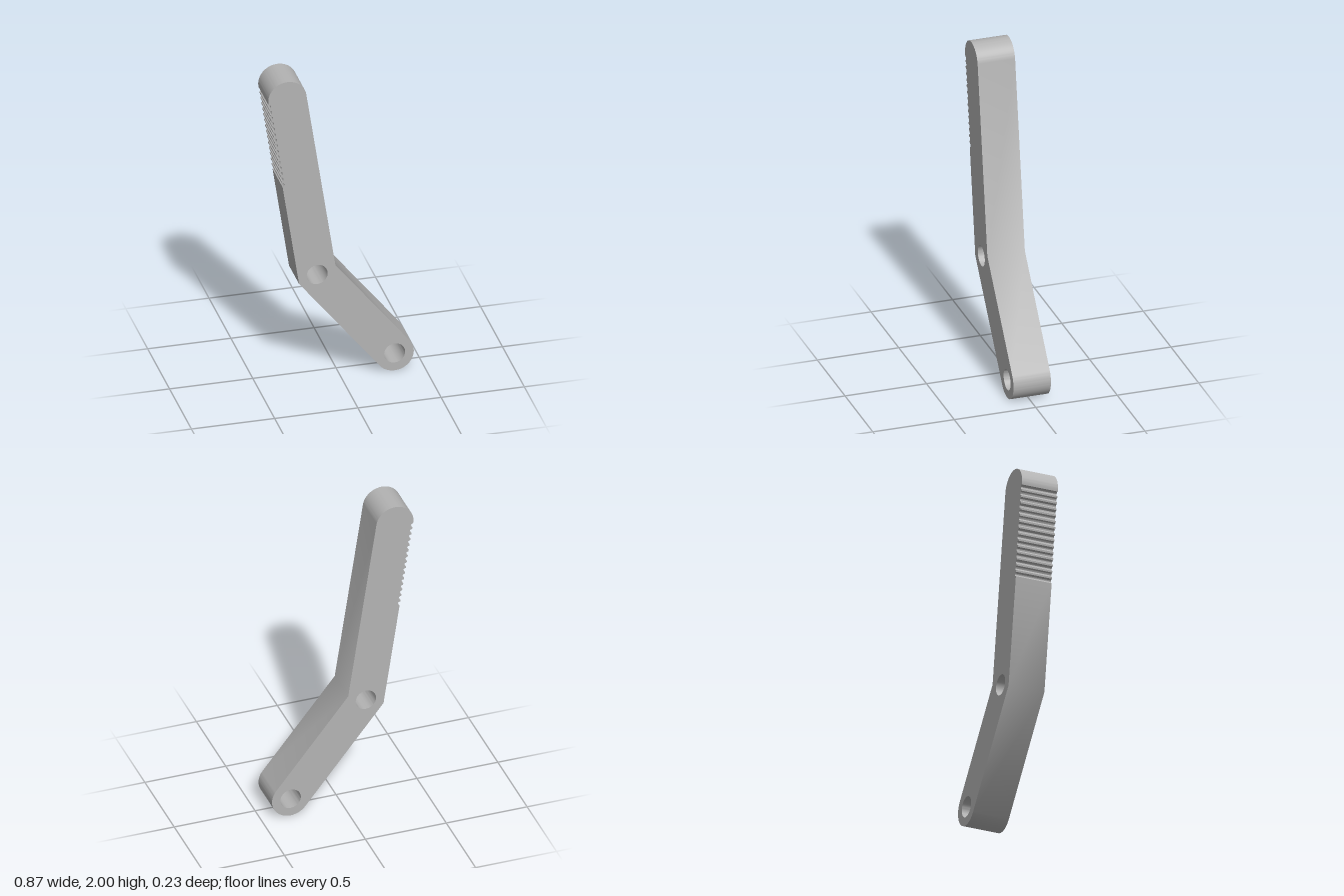
import * as THREE from 'three';
import { toCreasedNormals } from 'three/addons/utils/BufferGeometryUtils.js';

const R = 0.115, DEPTH = 0.23, HOLE = 0.063;
const top = new THREE.Vector2(-0.322, 1.885);
const pivot = new THREE.Vector2(-0.143, 0.7);
const bottom = new THREE.Vector2(0.322, 0.115);

export function createModel() {
  const group = new THREE.Group();
  const grey = new THREE.MeshStandardMaterial({ color: 0xb3b3b3 });
  grey.name = 'grey';

  // Directions of the two arms and the outward (left-hand) side of each
  const up = top.clone().sub(pivot).normalize();
  const down = bottom.clone().sub(pivot).normalize();
  const upOut = new THREE.Vector2(-up.y, up.x);
  const downOut = new THREE.Vector2(down.y, -down.x);

  // Mitred corner of the bend, measured from the pivot
  const miter = upOut.clone().add(downOut).normalize();
  miter.multiplyScalar(R / miter.dot(upOut));

  // Bent bar with round ends, drawn counter-clockwise
  const shape = new THREE.Shape();
  const a0 = downOut.angle(), a1 = upOut.angle();
  shape.moveTo(pivot.x - miter.x, pivot.y - miter.y);
  shape.lineTo(top.x - upOut.x * R, top.y - upOut.y * R);
  shape.absarc(top.x, top.y, R, a1 - Math.PI, a1, false);

  // Row of rounded grip notches down the outer edge
  const start = top.clone().addScaledVector(upOut, R);
  const count = 15, pitch = 0.038, notch = 0.0135;
  for (let i = 0; i < count; i++) {
    const c = start.clone().addScaledVector(up, -(0.02 + i * pitch));
    const a = up.angle();
    shape.lineTo(c.x + up.x * notch, c.y + up.y * notch);
    shape.absarc(c.x, c.y, notch, a, a - Math.PI, true);
  }

  shape.lineTo(pivot.x + miter.x, pivot.y + miter.y);
  shape.lineTo(bottom.x + downOut.x * R, bottom.y + downOut.y * R);
  shape.absarc(bottom.x, bottom.y, R, a0, a0 + Math.PI, false);
  shape.closePath();

  // Pin holes at the bend and the lower end
  for (const p of [pivot, bottom]) {
    const hole = new THREE.Path();
    hole.absarc(p.x, p.y, HOLE, 0, Math.PI * 2, true);
    shape.holes.push(hole);
  }

  const geometry = new THREE.ExtrudeGeometry(shape, { depth: DEPTH, bevelEnabled: false, curveSegments: 24 });
  geometry.translate(0, 0, -DEPTH / 2);
  const lever = new THREE.Mesh(toCreasedNormals(geometry, Math.PI / 6), grey);
  lever.name = 'bentLever';
  group.add(lever);
  return group;
}
